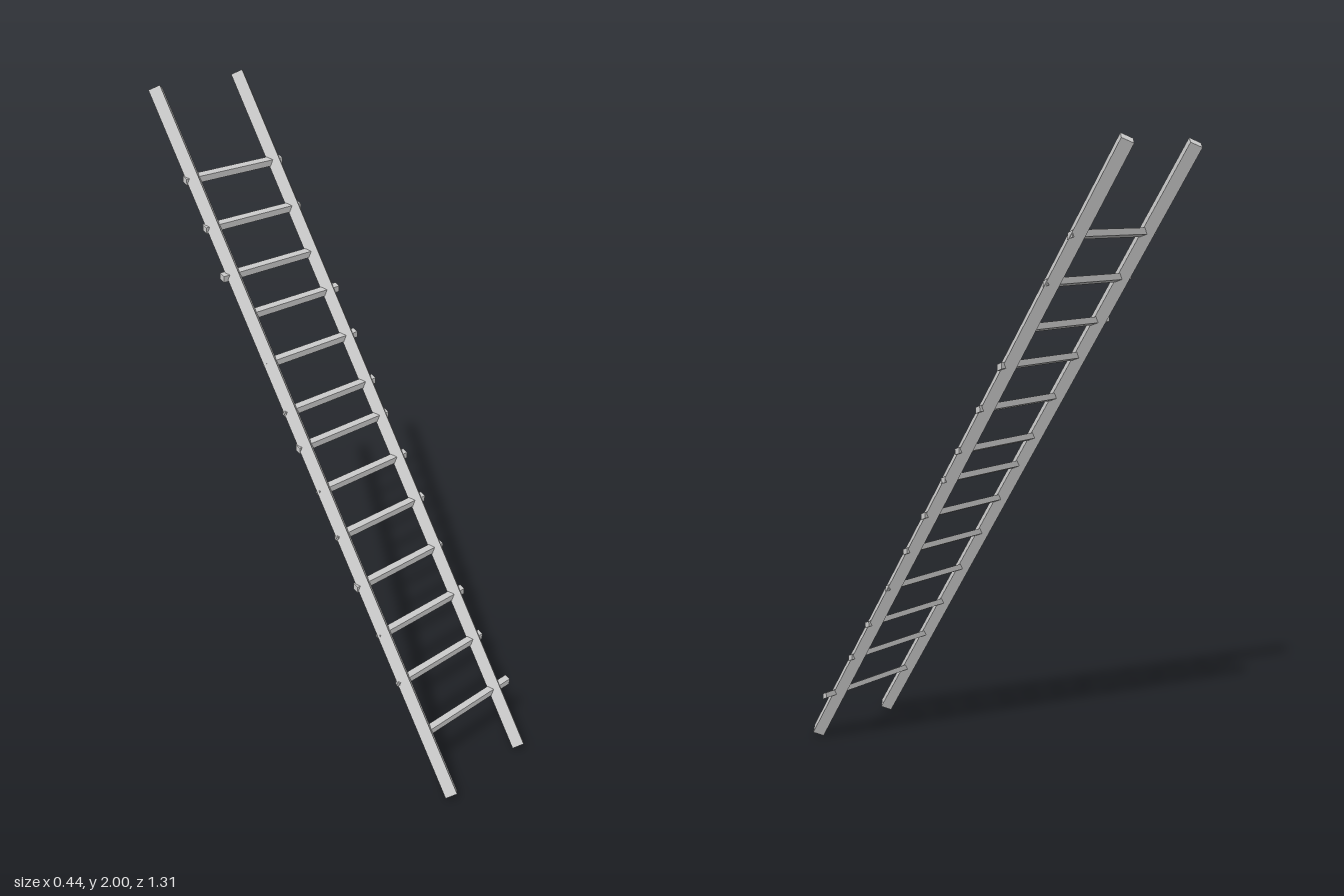
import * as THREE from 'three';

export function createModel() {
  const model = new THREE.Group();
  model.name = 'ladder';
  const material = new THREE.MeshStandardMaterial({ color: 0xcccccc, flatShading: true });
  const lean = 0.57;

  // Everything is built along an upright ladder, then leaned back
  const ladder = new THREE.Group();
  ladder.name = 'leaningFrame';
  ladder.position.y = 1;
  ladder.rotation.x = -lean;
  model.add(ladder);

  // Square side rails, turned edge-on
  const railGeometry = new THREE.CylinderGeometry(0.027, 0.027, 2.341, 4);
  for (const [name, x] of [['rightRail', -0.18], ['leftRail', 0.152]]) {
    const rail = new THREE.Mesh(railGeometry, material);
    rail.name = name;
    rail.position.x = x;
    ladder.add(rail);
  }

  // Thin rungs: [height, sideways offset], unevenly set by hand
  const rungs = [
    [0.186, 0.023], [0.334, -0.01], [0.467, -0.008], [0.605, -0.017], [0.743, -0.01],
    [0.87, -0.008], [0.992, -0.015], [1.09, -0.01], [1.225, -0.006], [1.358, -0.003],
    [1.47, -0.029], [1.602, -0.018], [1.735, -0.016],
  ];
  const rungGeometry = new THREE.CylinderGeometry(1, 1, 0.388, 4);
  rungGeometry.rotateZ(Math.PI / 2);
  rungGeometry.scale(1, 0.016, 0.0105);
  rungs.forEach(([height, x], i) => {
    const rung = new THREE.Mesh(rungGeometry, material);
    rung.name = `rung${i + 1}`;
    rung.position.set(x, (height - 1) / Math.cos(lean), 0);
    rung.rotation.set(0, -0.015, -0.021);
    ladder.add(rung);
  });

  return model;
}
